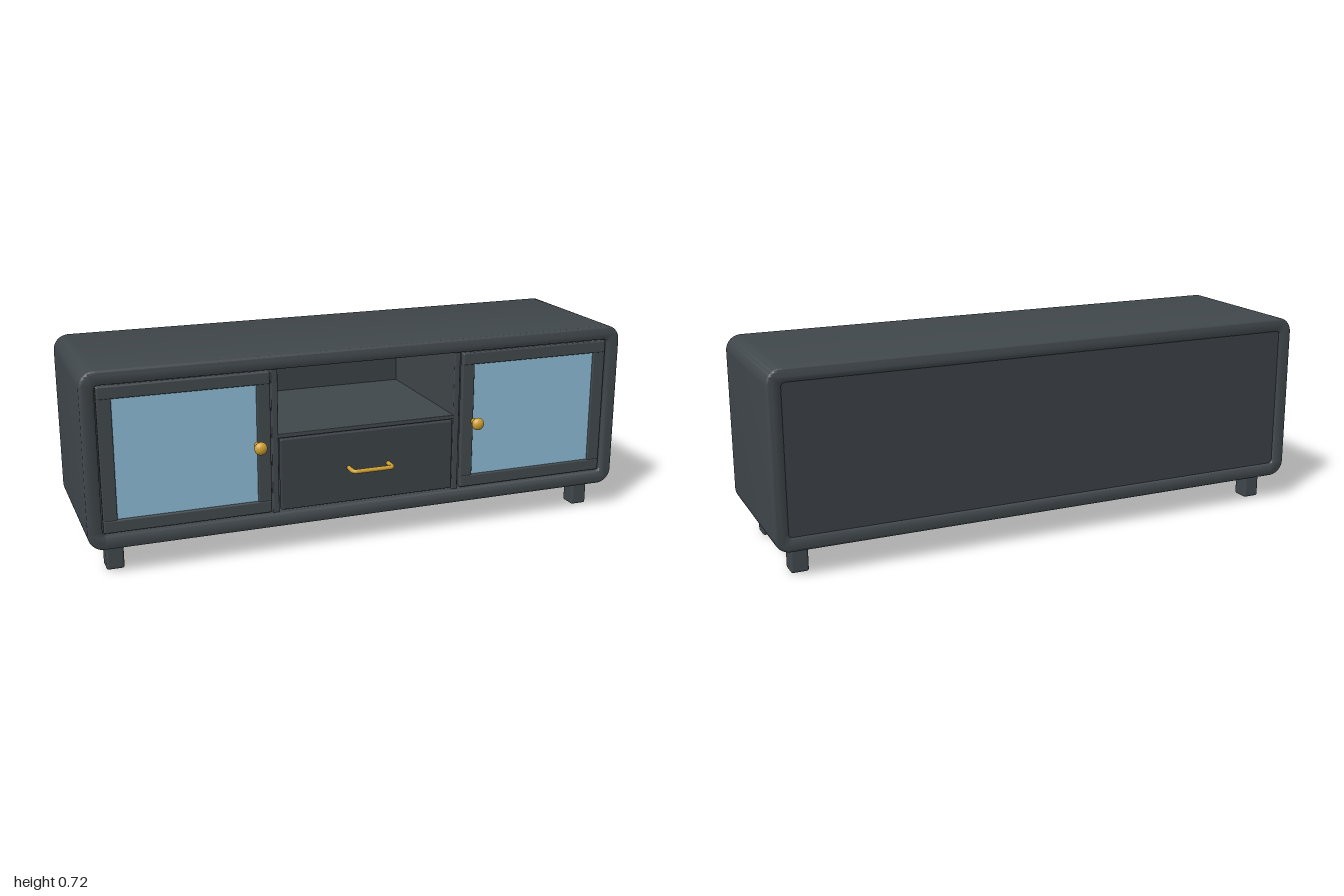
import * as THREE from 'three';
import { toCreasedNormals } from 'three/addons/utils/BufferGeometryUtils.js';
import { RoundedBoxGeometry } from 'three/addons/geometries/RoundedBoxGeometry.js';

const material = (name, color) => new THREE.MeshStandardMaterial({ name, color });

// Rounded rectangle centred on (0, cy), as a shape or a hole path
function roundedRect(path, w, h, r, cy) {
  const x = w / 2, y0 = cy - h / 2, y1 = cy + h / 2;
  path.moveTo(-x + r, y0);
  path.lineTo(x - r, y0);
  path.absarc(x - r, y0 + r, r, -Math.PI / 2, 0);
  path.lineTo(x, y1 - r);
  path.absarc(x - r, y1 - r, r, 0, Math.PI / 2);
  path.lineTo(-x + r, y1);
  path.absarc(-x + r, y1 - r, r, Math.PI / 2, Math.PI);
  path.lineTo(-x, y0 + r);
  path.absarc(-x + r, y0 + r, r, Math.PI, Math.PI * 1.5);
  return path;
}

export function createModel() {
  const paint = material('charcoal paint', 0x40474b);
  const panel = material('dark panel', 0x3a4045);
  const glass = material('blue glass', 0x8ab8d2);
  const brass = material('brass', 0xd0a032);
  const model = new THREE.Group();
  model.name = 'mediaConsole';

  const add = (parent, name, geometry, mat, x = 0, y = 0, z = 0) => {
    const mesh = new THREE.Mesh(geometry, mat);
    mesh.name = name;
    mesh.position.set(x, y, z);
    parent.add(mesh);
    return mesh;
  };
  // Box given by its limits, with softly rounded edges
  const box = (parent, name, mat, [x0, x1], [y0, y1], [z0, z1], r = 0.005) =>
    add(parent, name, new RoundedBoxGeometry(x1 - x0, y1 - y0, z1 - z0, 3, r), mat,
      (x0 + x1) / 2, (y0 + y1) / 2, (z0 + z1) / 2);

  // Outer shell: a rounded tube open to front and back
  const outline = roundedRect(new THREE.Shape(), 2, 0.617, 0.055, 0.4085);
  outline.holes.push(roundedRect(new THREE.Path(), 1.9, 0.517, 0.014, 0.4085));
  const bevel = 0.01;
  const shell = new THREE.ExtrudeGeometry(outline, {
    depth: 0.577 - 2 * bevel, curveSegments: 8, bevelEnabled: true,
    bevelSize: bevel, bevelThickness: bevel, bevelOffset: -bevel, bevelSegments: 4,
  });
  add(model, 'shell', toCreasedNormals(shell, 0.6), paint, 0, 0, -0.312 + bevel);

  // Back panel, set slightly into the shell
  box(model, 'backPanel', panel, [-0.952, 0.952], [0.148, 0.669], [-0.304, -0.285], 0.003);

  // Drawer, shelf and pull
  box(model, 'drawerFront', panel, [-0.326, 0.326], [0.157, 0.416], [0.235, 0.256]);
  box(model, 'drawerBox', panel, [-0.31, 0.31], [0.165, 0.405], [-0.27, 0.237]);
  box(model, 'shelf', paint, [-0.335, 0.335], [0.419, 0.434], [-0.29, 0.25], 0.003);
  const v = (x, z) => new THREE.Vector3(x, 0.284, z);
  const pull = new THREE.CurvePath();
  pull.add(new THREE.LineCurve3(v(-0.075, 0.25), v(-0.075, 0.288)));
  pull.add(new THREE.QuadraticBezierCurve3(v(-0.075, 0.288), v(-0.075, 0.304), v(-0.059, 0.304)));
  pull.add(new THREE.LineCurve3(v(-0.059, 0.304), v(0.059, 0.304)));
  pull.add(new THREE.QuadraticBezierCurve3(v(0.059, 0.304), v(0.075, 0.304), v(0.075, 0.288)));
  pull.add(new THREE.LineCurve3(v(0.075, 0.288), v(0.075, 0.25)));
  add(model, 'drawerPull', new THREE.TubeGeometry(pull, 80, 0.008, 12), brass);

  for (const s of [-1, 1]) {
    const side = s > 0 ? 'left' : 'right';
    const span = (a, b) => (s > 0 ? [a, b] : [-b, -a]);
    box(model, side + 'Divider', paint, span(0.331, 0.354), [0.145, 0.672], [-0.29, 0.25], 0.004);

    // Door: two stiles, two rails and a glass pane
    const door = new THREE.Group();
    door.name = side + 'Door';
    model.add(door);
    const depth = [0.235, 0.258];
    box(door, 'innerStile', paint, span(0.36, 0.408), [0.155, 0.663], depth);
    box(door, 'outerStile', paint, span(0.897, 0.946), [0.155, 0.663], depth);
    box(door, 'topRail', paint, span(0.362, 0.944), [0.618, 0.662], [0.236, 0.26]);
    box(door, 'bottomRail', paint, span(0.362, 0.944), [0.156, 0.2], [0.236, 0.26]);
    add(door, 'glassPane', new THREE.BoxGeometry(0.51, 0.44, 0.008), glass, s * 0.652, 0.409, 0.246);

    // Knob: slim stem with a flattened ball
    const knob = new THREE.Group();
    knob.name = 'knob';
    knob.position.set(s * 0.408, 0.405, 0);
    door.add(knob);
    const stem = new THREE.CylinderGeometry(0.01, 0.01, 0.05, 16).rotateX(Math.PI / 2);
    add(knob, 'knobStem', stem, brass, 0, 0, 0.27);
    const ball = new THREE.SphereGeometry(0.023, 24, 16).scale(1, 1, 0.75);
    add(knob, 'knobBall', ball, brass, 0, 0, 0.295);

    // Legs
    for (const [end, z] of [['Front', 0.17], ['Back', -0.216]]) {
      box(model, side + end + 'Leg', paint, span(0.873, 0.935), [0, 0.12], [z - 0.033, z + 0.033], 0.009);
    }
  }
  return model;
}
